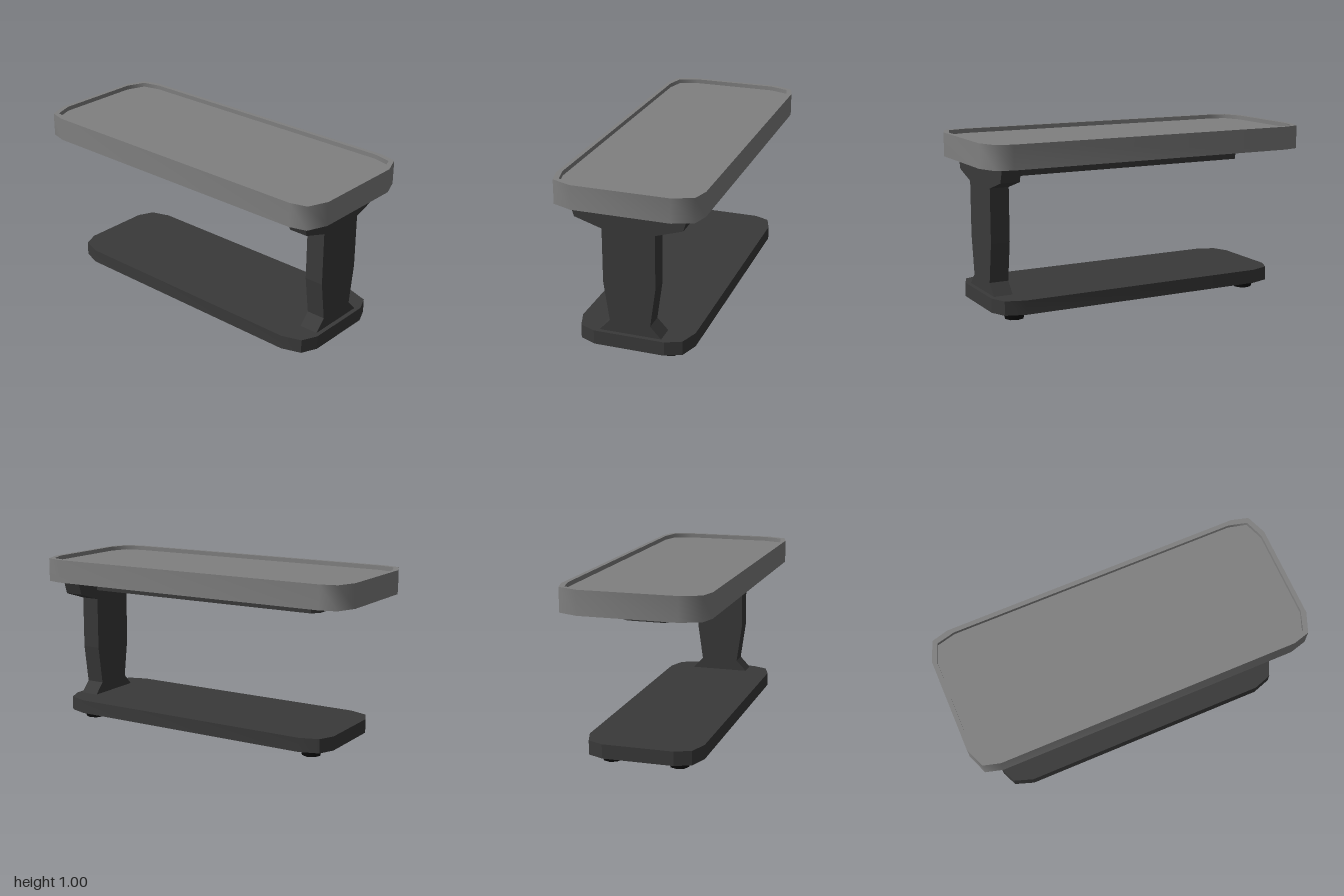
import * as THREE from 'three';
import { toCreasedNormals } from 'three/addons/utils/BufferGeometryUtils.js';

const topGrey = new THREE.MeshStandardMaterial({ color: 0x808080 });
topGrey.name = 'tableGrey';
const frameGrey = new THREE.MeshStandardMaterial({ color: 0x3a3a3a });
frameGrey.name = 'frameCharcoal';
const footBlack = new THREE.MeshStandardMaterial({ color: 0x0c0c0c });
footBlack.name = 'footBlack';

// Mirror one corner (listed from the x side to the z side) into a closed outline
function outline(corner) {
  const flip = [...corner].reverse();
  return [
    ...corner,
    ...flip.map(([x, z]) => [-x, z]),
    ...corner.map(([x, z]) => [-x, -z]),
    ...flip.map(([x, z]) => [x, -z]),
  ].map(([x, z]) => new THREE.Vector2(x, z));
}

// Flat slab standing from y0 to y1, optionally with a hole
function slab(points, y0, y1, crease, hole) {
  const shape = new THREE.Shape(points);
  if (hole) shape.holes.push(new THREE.Path(hole));
  const geo = new THREE.ExtrudeGeometry(shape, { depth: y1 - y0, bevelEnabled: false });
  geo.rotateX(-Math.PI / 2).translate(0, y0, 0);
  return toCreasedNormals(geo, crease);
}

export function createModel() {
  const model = new THREE.Group();
  model.name = 'overbedTable';
  const add = (name, geo, mat, parent = model) => {
    const mesh = new THREE.Mesh(geo, mat);
    mesh.name = name;
    parent.add(mesh);
    return mesh;
  };

  // Tabletop: a solid slab with a raised rim around a shallow tray
  const tabletop = new THREE.Group();
  tabletop.name = 'tabletop';
  model.add(tabletop);
  const outer = outline([[1, 0.27], [0.955, 0.383], [0.86, 0.409]]);
  const inner = outline([[0.975, 0.25], [0.935, 0.358], [0.83, 0.384]]);
  const floorY = 0.975;
  add('tabletopRim', slab(outer, 0.865, 1, 1.05, inner), topGrey, tabletop);
  add('tabletopTray', slab(inner, 0.865, floorY, 1.05), topGrey, tabletop);

  // Base plate
  const base = add('basePlate', slab(outline([[0.89, 0.2], [0.85, 0.29], [0.74, 0.327]]), 0.06, 0.14, 0.4), frameGrey);
  base.position.x = 0.03;

  // Column: flared foot, waist and top bracket, extruded along x
  const half = [[0.178, 0.138], [0.115, 0.205], [0.147, 0.43], [0.147, 0.735], [0.3, 0.783], [0.326, 0.867]];
  const profile = [...half, ...[...half].reverse().map(([z, y]) => [-z, y])].map(([z, y]) => new THREE.Vector2(z, y));
  const column = new THREE.ExtrudeGeometry(new THREE.Shape(profile), { depth: 0.11, bevelEnabled: false });
  column.rotateY(Math.PI / 2).translate(0.785, 0, 0);
  add('column', toCreasedNormals(column, 0.1), frameGrey);

  // Support beam under the top, with a chamfered free end
  const beam = [[0.79, -0.147], [0.79, 0.147], [-0.68, 0.147], [-0.715, 0.1], [-0.715, -0.1], [-0.68, -0.147]];
  add('supportBeam', slab(beam.map(([x, z]) => new THREE.Vector2(x, z)), 0.79, 0.867, 0.1), frameGrey);

  // Four rubber feet with slightly domed undersides
  const footProfile = [[0, 0.002], [0.054, 0.012], [0.067, 0.062]].map(([r, y]) => new THREE.Vector2(r, y));
  const footGeo = toCreasedNormals(new THREE.LatheGeometry(footProfile, 8), 0.9);
  for (const x of [-0.72, 0.785]) {
    for (const z of [-0.19, 0.19]) {
      add('foot', footGeo, footBlack).position.set(x, 0, z);
    }
  }
  return model;
}
